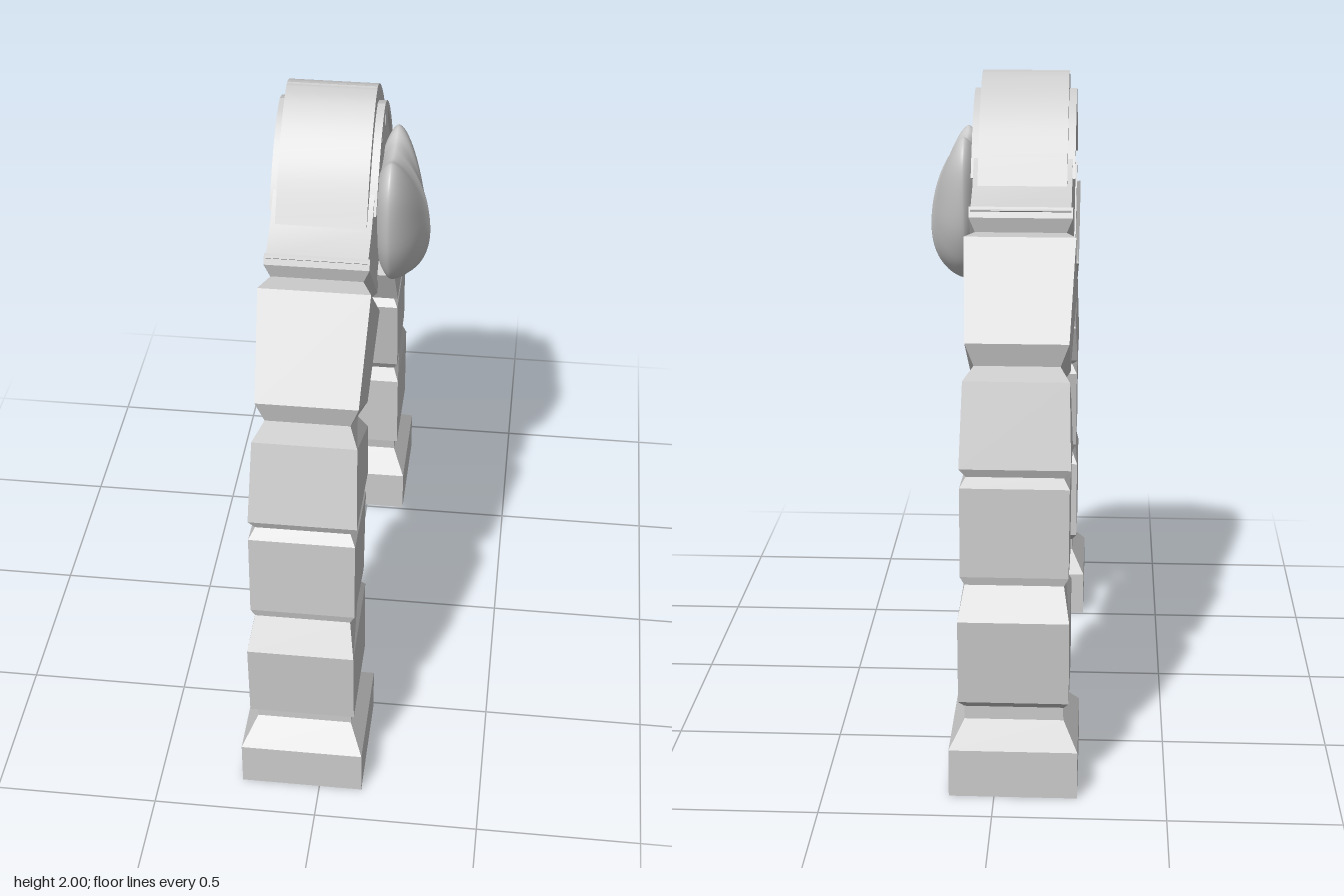
import * as THREE from 'three';
import { toCreasedNormals } from 'three/addons/utils/BufferGeometryUtils.js';

const flat = new THREE.MeshStandardMaterial({ color: 0xcccccc, flatShading: true });
const smooth = new THREE.MeshStandardMaterial({ color: 0xcccccc });

function add(parent, name, geometry, material) {
  const mesh = new THREE.Mesh(geometry, material);
  mesh.name = name;
  parent.add(mesh);
  return mesh;
}

// Loft of four-sided rings: [outer z, outer y, inner z, inner y, half width]
function loft(rings) {
  const pos = [], index = [];
  for (const [oz, oy, iz, iy, w] of rings) {
    pos.push(-w, oy, oz, w, oy, oz, w, iy, iz, -w, iy, iz);
  }
  for (let i = 0; i < rings.length - 1; i++) {
    for (let k = 0; k < 4; k++) {
      const a = i * 4 + k, b = i * 4 + (k + 1) % 4;
      index.push(a, b, b + 4, a, b + 4, a + 4);
    }
  }
  const t = (rings.length - 1) * 4;
  index.push(0, 2, 1, 0, 3, 2, t, t + 1, t + 2, t, t + 2, t + 3);
  const g = new THREE.BufferGeometry();
  g.setAttribute('position', new THREE.Float32BufferAttribute(pos, 3));
  g.setIndex(index);
  const out = g.toNonIndexed();
  out.computeVertexNormals();
  return out;
}

// Closed outline mirrored in z from its +z half, listed top to bottom
const mirrored = (half) => [
  ...half, ...half.slice().reverse().map(([z, y]) => [-z, y]),
].map(([z, y]) => new THREE.Vector2(z, y));

// Slab in the z-y plane, centred across x
function slab(points, halfWidth) {
  const g = new THREE.ExtrudeGeometry(new THREE.Shape(points), {
    depth: halfWidth * 2, bevelEnabled: false,
  });
  g.translate(0, 0, -halfWidth);
  g.rotateY(Math.PI / 2);
  return toCreasedNormals(g, 0.5);
}

// Smooth open curve through points, as [z, y] pairs
const curve = (pts, n) => new THREE.SplineCurve(pts.map((p) => new THREE.Vector2(...p)))
  .getPoints(n).map((p) => [p.x, p.y]);

// Domed boss: rings grow from the middle to the outline, with a vertical ridge
function bossGeometry() {
  const half = [[0, 1.785], [0.06, 1.79], [0.12, 1.81], [0.175, 1.77], [0.19, 1.69], [0.165, 1.54],
    [0.115, 1.435], [0.06, 1.375], [0, 1.345]];
  const right = curve(half, 32);
  const rim = [...right, ...right.slice(1, -1).reverse().map(([z, y]) => [-z, y])];
  const n = rim.length, rows = 16, cy = 1.58;
  const pos = [], index = [];
  // front dome from the centre out, then the shallower back dome to the centre
  for (let r = 0; r <= rows * 2; r++) {
    const front = r <= rows;
    const t = Math.sin((front ? r / rows : 2 - r / rows) * Math.PI / 2);
    for (const [rz, ry] of rim) {
      const z = rz * t, y = cy + (ry - cy) * t;
      const dome = Math.pow(Math.max(0, 1 - Math.pow(t, 2.2)), 0.6);
      const ridge = 0.016 * Math.exp(-Math.abs(z) / 0.035);
      const lean = 1 + (cy - y) * 1.3;
      const edge = 0.13;
      pos.push(front ? edge + (0.091 + ridge) * dome * lean : edge - 0.06 * dome, y, z);
    }
  }
  for (let r = 0; r < rows * 2; r++) {
    for (let k = 0; k < n; k++) {
      const a = r * n + k, b = r * n + (k + 1) % n;
      index.push(a, b + n, b, a, a + n, b + n);
    }
  }
  const g = new THREE.BufferGeometry();
  g.setAttribute('position', new THREE.Float32BufferAttribute(pos, 3));
  g.setIndex(index);
  g.computeVertexNormals();
  return g;
}

export function createModel() {
  const model = new THREE.Group();
  model.name = 'stoneArch';
  const arch = new THREE.Group();
  arch.name = 'arch';
  arch.position.x = -0.055;
  model.add(arch);

  // One leg of stacked stones with narrow joints, from the plinth up
  const stones = loft([
    [0.88, 0, 0.51, 0, 0.187],
    [0.88, 0.145, 0.51, 0.145, 0.187],
    [0.80, 0.21, 0.59, 0.21, 0.145],
    [0.80, 0.25, 0.585, 0.25, 0.145],
    [0.85, 0.285, 0.535, 0.285, 0.16],
    [0.865, 0.54, 0.535, 0.55, 0.16],
    [0.80, 0.63, 0.565, 0.59, 0.143],
    [0.805, 0.655, 0.545, 0.62, 0.156],
    [0.795, 0.92, 0.50, 0.89, 0.157],
    [0.765, 0.945, 0.525, 0.92, 0.14],
    [0.775, 0.97, 0.475, 0.945, 0.16],
    [0.705, 1.21, 0.415, 1.075, 0.153],
    [0.63, 1.235, 0.44, 1.13, 0.125],
    [0.645, 1.305, 0.40, 1.155, 0.15],
    [0.455, 1.575, 0.20, 1.35, 0.164],
    [0.39, 1.575, 0.215, 1.40, 0.135],
    [0.40, 1.62, 0.165, 1.39, 0.153],
    [0.385, 1.65, 0.14, 1.41, 0.153],
  ]);
  for (const side of [0, 1]) {
    const leg = add(arch, side ? 'backLeg' : 'frontLeg', stones, flat);
    leg.rotation.y = side * Math.PI;
  }

  // Keystone with a gabled top
  add(arch, 'keystone', slab(mirrored([
    [0.06, 1.91], [0.2, 1.78], [0.297, 1.69], [0.395, 1.64], [0.155, 1.395], [0.09, 1.45],
  ]), 0.148), smooth);

  // Curved hood over the keystone
  const ogive = curve([[0, 2], [0.058, 1.98], [0.138, 1.92], [0.217, 1.83], [0.297, 1.695]], 20);
  add(arch, 'hood', slab(mirrored([...ogive.slice(1), [0.235, 1.71]].concat()), 0.133), smooth);
  add(arch, 'hoodApex', slab(mirrored([[0, 2], ogive[1], [0.03, 1.95]]), 0.133), smooth);

  // Raised trim under the hood with two hanging drops
  const trimTop = curve([[0, 1.945], [0.06, 1.925], [0.13, 1.872], [0.2, 1.79], [0.25, 1.71]], 14);
  const trimUnder = curve([[0.232, 1.715], [0.165, 1.80], [0.1, 1.87], [0.085, 1.885], [0.08, 1.86],
    [0.05, 1.845], [0.022, 1.86], [0.018, 1.9], [0, 1.918]], 36);
  const half = [...trimTop, ...trimUnder.slice(0, -1)];
  const left = half.slice(1).reverse().map(([z, y]) => [-z, y]);
  add(arch, 'dropTrim', slab(
    [...half, [0, 1.918], ...left].map((p) => new THREE.Vector2(...p)), 0.156), smooth);

  // Rounded boss on the keystone face
  add(model, 'boss', bossGeometry(), smooth);
  return model;
}
